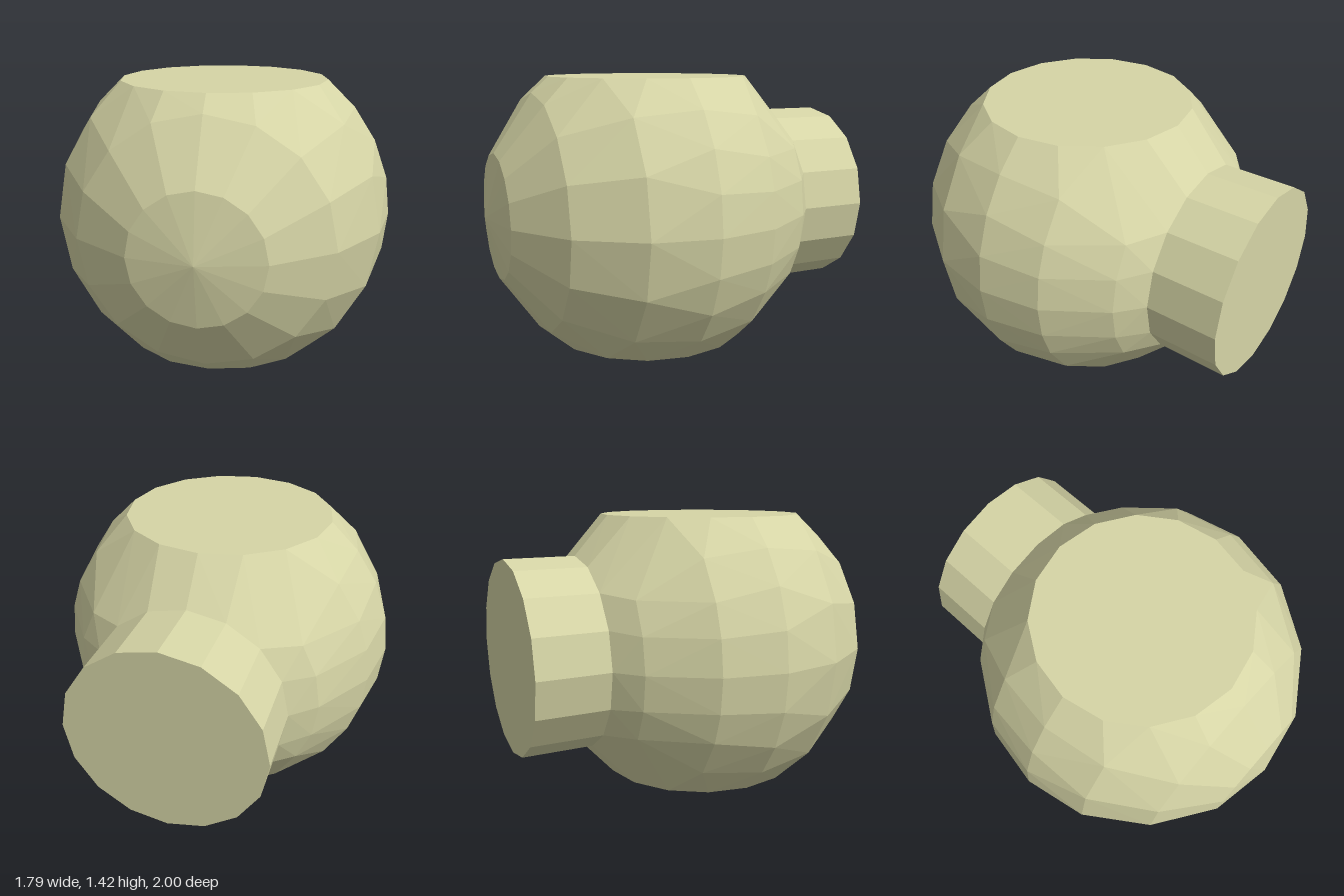
import * as THREE from 'three';
import { ConvexGeometry } from 'three/addons/geometries/ConvexGeometry.js';

const CY = 0.71, CZ = 0.1; // centre of the ball

export function createModel() {
  const group = new THREE.Group();
  const material = new THREE.MeshStandardMaterial({ color: 0xd6d5a6, flatShading: true });
  const add = (name, geometry) => {
    const mesh = new THREE.Mesh(geometry, material);
    mesh.name = name;
    group.add(mesh);
    return mesh;
  };

  // Faceted ball: hull of rings around the z axis and the two flat faces
  const points = [new THREE.Vector3(0, CY, 1)];
  const circle = (r, place) => {
    for (let i = 0; i < 16; i++) {
      const a = (i * Math.PI) / 8;
      points.push(place(r * Math.cos(a), r * Math.sin(a)));
    }
  };
  for (const [z, r] of [[0.94, 0.33], [0.735, 0.63], [-0.63, 0.505]]) {
    circle(r, (x, y) => new THREE.Vector3(x, CY + y, z));
  }
  for (const y of [0, 2 * CY]) {
    circle(0.545, (x, z) => new THREE.Vector3(x, y, CZ + z));
  }

  // Side columns of the ball, between the flat faces: z, radius, heights from the centre
  const columns = [
    [0.43, 0.832, [0, 0.29, 0.54]],
    [0.1, 0.893, [0, 0.2, 0.4, 0.57]],
    [-0.22, 0.832, [0, 0.18, 0.34, 0.53]],
    [-0.52, 0.635, [0, 0.18, 0.34]],
  ];
  for (const [z, r, heights] of columns) {
    for (const h of heights) {
      const x = Math.sqrt(r * r - h * h);
      for (const sx of [-1, 1]) {
        for (const sy of h ? [-1, 1] : [1]) points.push(new THREE.Vector3(sx * x, CY + sy * h, z));
      }
    }
  }
  add('ballBody', new ConvexGeometry(points));

  // Round stem at the back
  const stem = add('backStem', new THREE.CylinderGeometry(0.505, 0.505, 0.37, 16));
  stem.rotation.x = Math.PI / 2;
  stem.position.set(0, CY, -0.815);

  return group;
}
